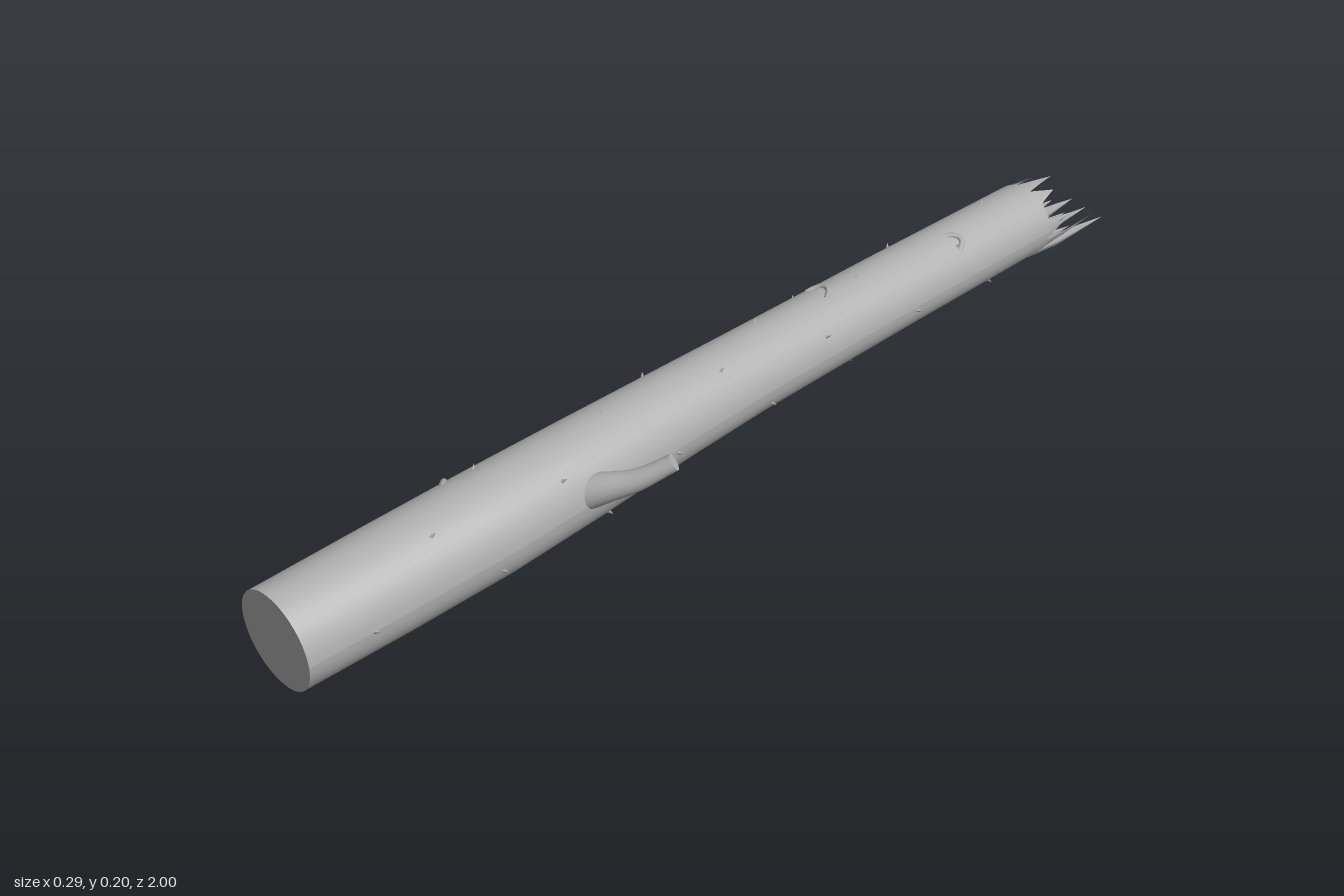
import * as THREE from 'three';

// Trunk stations: z, centre x, centre y, radius
const STATIONS = [
  [1, -0.054, 0.098, 0.088], [0.8, -0.049, 0.101, 0.091], [0.6, -0.043, 0.106, 0.092],
  [0.4, -0.042, 0.110, 0.088], [0.2, -0.047, 0.110, 0.082], [0, -0.052, 0.107, 0.078],
  [-0.4, -0.057, 0.100, 0.076], [-0.8, -0.058, 0.093, 0.074], [-1, -0.058, 0.090, 0.073],
];

// Interpolated trunk station at any z
function trunkAt(z) {
  let i = 0;
  while (i < STATIONS.length - 2 && z < STATIONS[i + 1][0]) i++;
  const a = STATIONS[i], b = STATIONS[i + 1];
  const t = (z - a[0]) / (b[0] - a[0]);
  const [, x, y, r] = a.map((v, k) => v + (b[k] - v) * t);
  return { x, y, r };
}

// Point on the trunk surface; angle 0 is +x, PI/2 is up
function onTrunk(angle, z, lift = 0) {
  const s = trunkAt(z);
  return new THREE.Vector3(s.x + Math.cos(angle) * (s.r + lift), s.y + Math.sin(angle) * (s.r + lift), z);
}

// Grid surface from a function of (row, column) fractions
function gridSurface(rows, cols, point) {
  const g = new THREE.PlaneGeometry(1, 1, cols, rows);
  const p = g.attributes.position;
  for (let j = 0; j <= rows; j++)
    for (let i = 0; i <= cols; i++) {
      const v = point(j / rows, i / cols);
      p.setXYZ(j * (cols + 1) + i, v.x, v.y, v.z);
    }
  g.computeVertexNormals();
  return g;
}

export function createModel() {
  const model = new THREE.Group();
  const bark = new THREE.MeshStandardMaterial({ color: 0xb0b0b0, side: THREE.DoubleSide });
  bark.name = 'grey bark';
  const add = (name, geometry, parent = model) => {
    const mesh = new THREE.Mesh(geometry, bark);
    mesh.name = name;
    parent.add(mesh);
    return mesh;
  };
  const group = (name) => {
    const g = new THREE.Group();
    g.name = name;
    model.add(g);
    return g;
  };
  let seed = 7;
  const rand = () => (seed = (seed * 16807) % 2147483647) / 2147483647;

  // Trunk shell, wound so that its faces look outwards
  add('trunk', gridSurface(36, 40, (t, u) => onTrunk(u * Math.PI * 2, 1 - t * 1.8)));

  // Sawn front end and the recessed core behind the break
  const front = trunkAt(1);
  add('sawnEnd', new THREE.CircleGeometry(front.r, 40)).position.set(front.x, front.y, 1);
  const back = trunkAt(-0.77);
  const core = add('brokenCore', new THREE.CircleGeometry(back.r, 40));
  core.position.set(back.x, back.y, -0.77);
  core.rotation.y = Math.PI;

  // Jagged crown of bark teeth: angle, width (degrees), tip z
  const crown = group('brokenCrown');
  [
    [62, 30, -0.86], [90, 30, -0.89], [117, 28, -0.84], [145, 30, -0.90], [172, 28, -0.84],
    [200, 30, -0.88], [228, 28, -0.94], [255, 30, -0.87], [282, 28, -0.92], [308, 28, -0.89],
    [334, 26, -0.96], [2, 28, -0.86], [30, 32, -0.815],
  ].forEach(([deg, width, tip]) => {
    const rad = Math.PI / 180;
    add('barkTooth', gridSurface(4, 6, (t, u) =>
      onTrunk((deg + (u - 0.5) * width * (1 - t)) * rad, -0.795 + (tip + 0.795) * t, -0.008 * t)), crown);
  });

  // Wood splinters inside the break: tip x, tip y, tip z, radius
  const splinters = group('splinters');
  [
    [0.002, 0.042, -1, 0.013], [-0.11, 0.07, -0.97, 0.014], [-0.05, 0.055, -0.94, 0.014],
    [-0.02, 0.068, -0.97, 0.013], [-0.03, 0.035, -0.93, 0.012], [-0.08, 0.04, -0.94, 0.013],
    [-0.115, 0.10, -0.90, 0.012], [0.0, 0.128, -0.89, 0.012], [-0.065, 0.09, -0.91, 0.015],
    [-0.095, 0.055, -0.91, 0.013], [-0.01, 0.085, -0.91, 0.013], [-0.06, 0.03, -0.90, 0.012],
  ].forEach(([x, y, z, r]) => {
    const base = new THREE.Vector3(back.x + (x - back.x) * 0.8, back.y + (y - back.y) * 0.85, -0.765);
    const dir = new THREE.Vector3(x, y, z).sub(base);
    const length = dir.length();
    const profile = [[r * 0.8, 0], [r, length * 0.35], [r * 0.5, length * 0.7], [0, length]];
    const s = add('splinter', new THREE.LatheGeometry(profile.map((q) => new THREE.Vector2(...q)), 5), splinters);
    s.position.copy(base);
    s.quaternion.setFromUnitVectors(new THREE.Vector3(0, 1, 0), dir.normalize());
  });

  // Side branch: tapered tube along a bent path, closed by a cut tip
  const path = new THREE.CatmullRomCurve3([
    [0.005, 0.112, 0.45], [0.045, 0.13, 0.425], [0.09, 0.151, 0.39], [0.115, 0.17, 0.365], [0.134, 0.187, 0.343],
  ].map((q) => new THREE.Vector3(...q)));
  const frames = path.computeFrenetFrames(14, false);
  const branch = group('branch');
  const ring = (t, u) => {
    const k = Math.round(t * 14), a = u * Math.PI * 2;
    const r = 0.0155 + 0.022 * Math.pow(1 - t, 1.8);
    return path.getPointAt(t)
      .addScaledVector(frames.normals[k], Math.cos(a) * r)
      .addScaledVector(frames.binormals[k], -Math.sin(a) * r);
  };
  add('branchStem', gridSurface(14, 16, ring), branch);
  const cut = add('branchTip', new THREE.CircleGeometry(0.0155, 16), branch);
  cut.position.copy(path.getPointAt(1));
  cut.quaternion.setFromUnitVectors(new THREE.Vector3(0, 0, 1), path.getTangentAt(1));

  // Arched bark scars: angle, z, half span (radians), bow along z
  const scars = group('barkScars');
  [
    [1.07, -0.56, 0.28, 0.02], [1.75, -0.23, 0.36, 0.025], [2.65, 0.62, 0.62, 0.03],
    [-0.42, 0.26, 0.40, 0.03], [3.95, -0.08, 0.45, 0.025],
  ].forEach(([angle, z, span, bow]) => {
    const points = [];
    for (let i = -4; i <= 4; i++) {
      const u = i / 4;
      points.push(onTrunk(angle + u * span, z + bow * u * u, 0.001 - 0.004 * u * u));
    }
    add('barkScar', new THREE.TubeGeometry(new THREE.CatmullRomCurve3(points), 16, 0.006, 6), scars);
  });

  // Tiny thorns scattered over the bark
  const thorns = group('thorns');
  for (let i = 0; i < 34; i++) {
    const angle = i * 2.4 + rand() * 0.5, z = 0.88 - (i / 33) * 1.62;
    const thorn = add('thorn', new THREE.ConeGeometry(0.005, 0.014, 4), thorns);
    thorn.position.copy(onTrunk(angle, z, 0.002));
    thorn.quaternion.setFromUnitVectors(new THREE.Vector3(0, 1, 0),
      new THREE.Vector3(Math.cos(angle), Math.sin(angle), -0.6).normalize());
  }
  return model;
}
